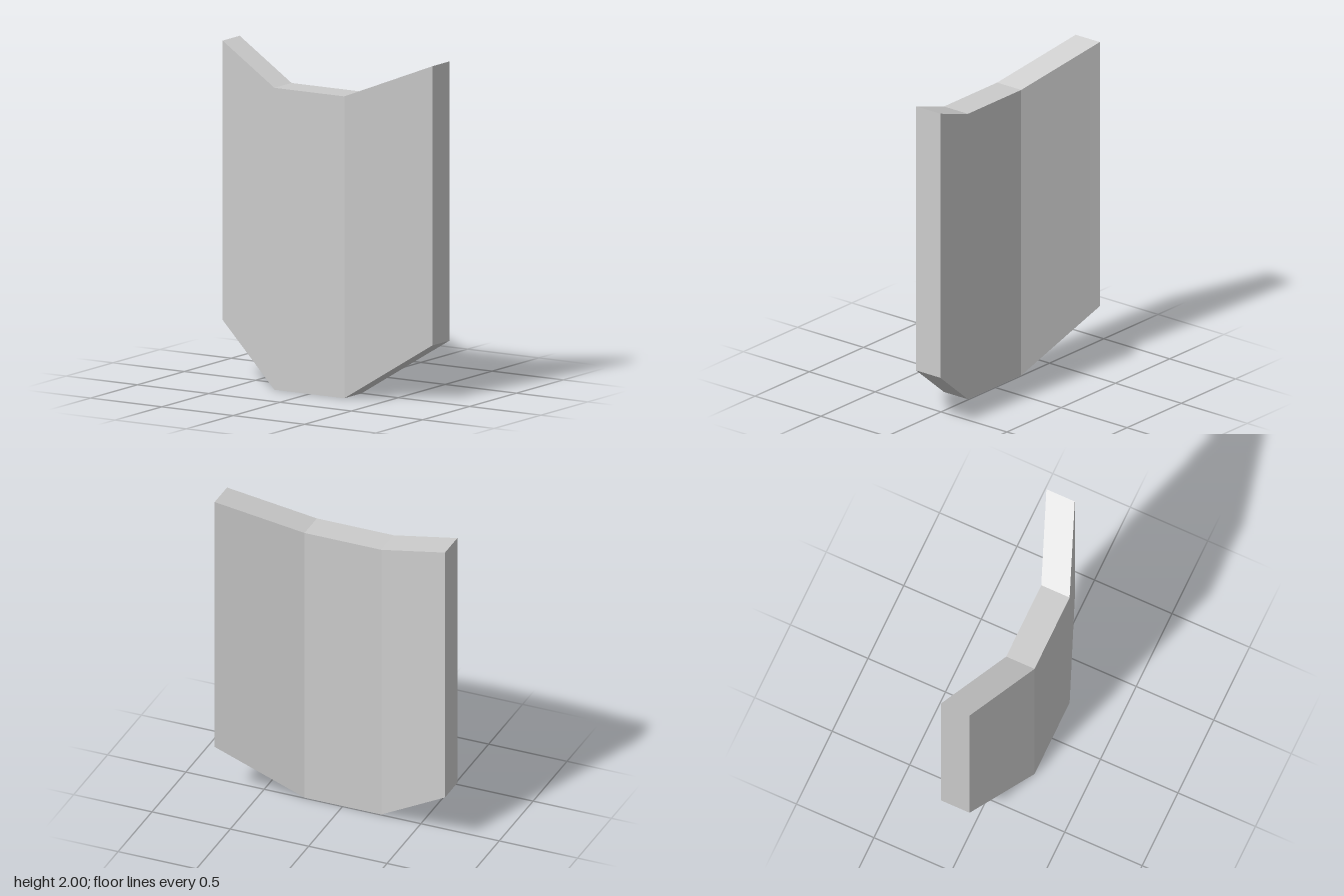
import * as THREE from 'three';

const WIDTH = 1.47, THICKNESS = 0.183;
// heights and front depth at the middle panel and at the outer edges
const middle = { bottom: 0, top: 1.8, front: 0.188 };
const edge = { bottom: 0.335, top: 2, front: -0.005 };

export function createModel() {
  const group = new THREE.Group();
  group.name = 'foldedPlate';

  // A box of three columns; its outer edges are swept up and back
  const box = new THREE.BoxGeometry(WIDTH, 1, 1, 3, 1, 1);
  const p = box.attributes.position;
  for (let i = 0; i < p.count; i++) {
    const s = Math.abs(p.getX(i)) > WIDTH / 4 ? edge : middle;
    p.setY(i, p.getY(i) > 0 ? s.top : s.bottom);
    p.setZ(i, p.getZ(i) > 0 ? s.front : s.front - THICKNESS);
  }
  const geometry = box.toNonIndexed();
  geometry.computeVertexNormals();

  const plate = new THREE.Mesh(
    geometry,
    new THREE.MeshStandardMaterial({ color: 0xcccccc, flatShading: true })
  );
  plate.name = 'plate';
  group.add(plate);
  return group;
}
